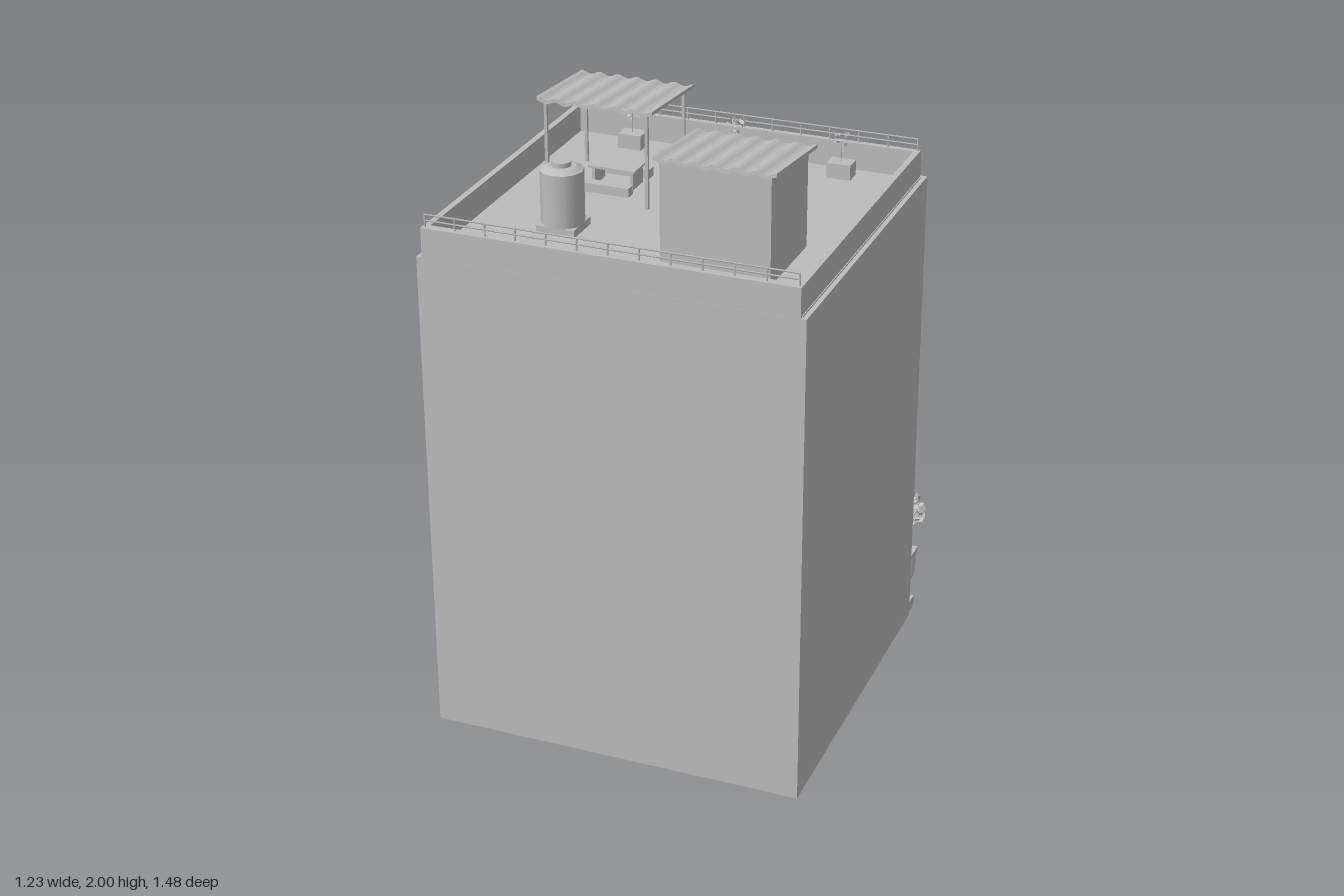
import * as THREE from 'three';
import { mergeGeometries } from 'three/addons/utils/BufferGeometryUtils.js';

const grey = new THREE.MeshStandardMaterial({ color: 0xbcbcbc, side: THREE.DoubleSide });
grey.name = 'plain grey';
const blue = new THREE.MeshStandardMaterial({ color: 0x86b4c8, side: THREE.DoubleSide });
blue.name = 'glass blue';

let seed = 7;
const rnd = () => (seed = (seed * 16807) % 2147483647) / 2147483647;
const V = (x, y, z) => new THREE.Vector3(x, y, z);

// Box given by its limits
const box = (x0, x1, y0, y1, z0, z1) =>
  new THREE.BoxGeometry(x1 - x0, y1 - y0, z1 - z0).translate((x0 + x1) / 2, (y0 + y1) / 2, (z0 + z1) / 2);
const cyl = (r0, r1, y0, y1, x, z, n = 12) =>
  new THREE.CylinderGeometry(r1, r0, y1 - y0, n).translate(x, (y0 + y1) / 2, z);
// Thin rod between two points
function rod(a, b, r = 0.003) {
  const d = b.clone().sub(a), g = new THREE.CylinderGeometry(r, r, d.length(), 5);
  g.applyQuaternion(new THREE.Quaternion().setFromUnitVectors(V(0, 1, 0), d.normalize()));
  return g.translate((a.x + b.x) / 2, (a.y + b.y) / 2, (a.z + b.z) / 2);
}
// Corrugated sheet sloping from (y0, z0) to (y1, z1), with z0 < z1
function sheet(x0, x1, y0, z0, y1, z1, waves, amp, thick) {
  const n = waves * 6, top = [], low = [];
  for (let i = 0; i <= n; i++) {
    const x = x0 + (x1 - x0) * i / n, y = amp * Math.cos(i / 6 * Math.PI * 2);
    top.push(new THREE.Vector2(x, y));
    low.unshift(new THREE.Vector2(x, y - thick));
  }
  const g = new THREE.ExtrudeGeometry(new THREE.Shape([...top, ...low]),
    { depth: Math.hypot(y1 - y0, z1 - z0), bevelEnabled: false });
  return g.rotateX(Math.atan2(y0 - y1, z1 - z0)).translate(0, y0, z0);
}
// Loose ball of small folded leaves
function leaves(c, r, count, size) {
  const list = [];
  for (let i = 0; i < count; i++) {
    const g = new THREE.CircleGeometry(size * (0.7 + 0.6 * rnd()), 5);
    g.rotateX(rnd() * 6.3).rotateY(rnd() * 6.3);
    const a = rnd() * 6.283, h = rnd() * 2 - 1, q = r * Math.cbrt(0.15 + 0.85 * rnd()), s = Math.sqrt(1 - h * h);
    list.push(g.translate(c.x + q * s * Math.cos(a), c.y + q * h * 0.9, c.z + q * s * Math.sin(a)));
  }
  return list;
}

export function createModel() {
  seed = 7;
  const root = new THREE.Group();
  root.name = 'cafeBuilding';
  const add = (name, list, mat = grey) => {
    const m = new THREE.Mesh(mergeGeometries(list.map(g => g.index ? g.toNonIndexed() : g)), mat);
    m.name = name;
    root.add(m);
  };

  // Shell, open at the bottom
  add('walls', [box(-0.615, 0.615, 0, 1.635, 0.725, 0.745),
    box(-0.615, -0.595, 0, 1.635, -0.42, 0.725), box(0.595, 0.615, 0, 1.635, -0.42, 0.725)]);
  const face = new THREE.Shape([[-0.615, 0], [0.615, 0], [0.615, 1.635], [-0.615, 1.635]].map(p => new THREE.Vector2(...p)));
  const hole = (x0, x1, y0, y1) => face.holes.push(new THREE.Path(
    [[x0, y0], [x0, y1], [x1, y1], [x1, y0]].map(p => new THREE.Vector2(...p))));
  const floors = [0.755, 1.2], sides = [-1, 1];
  for (const y of floors) for (const s of sides) hole(s * 0.305 - 0.235, s * 0.305 + 0.235, y, y + 0.335);
  hole(-0.55, 0.55, 0.035, 0.44);
  add('facade', [new THREE.ExtrudeGeometry(face, { depth: 0.03, bevelEnabled: false }).translate(0, 0, -0.425)]);
  add('facadeTrim', [box(-0.56, 0.56, 0.5, 0.72, -0.436, -0.425), box(-0.615, 0.615, 1.6, 1.625, -0.432, -0.425),
    ...sides.flatMap(s => [box(s * 0.585 - 0.022, s * 0.585 + 0.022, 0.04, 1.6, -0.431, -0.425),
      box(s * 0.58 - 0.03, s * 0.58 + 0.03, 0, 0.04, -0.49, -0.425),
      box(s * 0.58 - 0.018, s * 0.58 + 0.018, 0.36, 0.41, -0.458, -0.425)])]);
  add('shopFloor', [box(-0.59, 0.59, 0.004, 0.035, -0.45, 0.1)]);
  add('roofDeck', [box(-0.6, 0.6, 1.62, 1.64, -0.4, 0.735)]);
  add('parapet', [box(-0.597, 0.597, 1.635, 1.73, -0.405, -0.385), box(-0.597, 0.597, 1.635, 1.73, 0.715, 0.744),
    box(-0.597, -0.577, 1.635, 1.73, -0.385, 0.715), box(0.577, 0.597, 1.635, 1.73, -0.385, 0.715)]);

  // Roof railings along front and back
  const rails = [];
  for (const z of [-0.395, 0.73]) {
    for (const y of [1.75, 1.769]) rails.push(rod(V(-0.59, y, z), V(0.59, y, z)));
    for (let i = 0; i <= 12; i++) rails.push(rod(V(-0.588 + i * 0.098, 1.72, z), V(-0.588 + i * 0.098, 1.77, z)));
  }
  add('roofRailing', rails);

  // Roof hut, its sloping top following the sheet
  const hut = box(0.1, 0.445, 1.64, 1.99, 0.26, 0.577), hp = hut.attributes.position;
  for (let i = 0; i < hp.count; i++) if (hp.getY(i) > 1.8) hp.setY(i, 1.945 + (hp.getZ(i) - 0.26) * 0.12);
  add('roofHut', [hut]);
  add('hutDoor', [box(0.2, 0.3, 1.64, 1.86, 0.254, 0.26)]);
  add('hutRoof', [sheet(0.085, 0.465, 1.955, 0.235, 1.994, 0.592, 6, 0.005, 0.012)]);

  // Pergola with table and benches
  add('pergolaRoof', [sheet(-0.47, -0.085, 1.936, -0.165, 1.963, 0.182, 6, 0.005, 0.012)]);
  add('pergolaPosts', [-0.447, -0.11].flatMap(x => [[-0.14, 1.93], [0.165, 1.95]].map(([z, y]) =>
    box(x - 0.005, x + 0.005, 1.64, y, z - 0.005, z + 0.005))));
  add('pergolaTable', [box(-0.36, -0.2, 1.7, 1.708, -0.05, 0.05), box(-0.35, -0.34, 1.64, 1.7, -0.04, 0.04),
    box(-0.22, -0.21, 1.64, 1.7, -0.04, 0.04), ...sides.map(s => box(-0.36, -0.2, 1.64, 1.67, s * 0.085 - 0.018, s * 0.085 + 0.018))]);

  // Water tank
  add('waterTank', [box(-0.353, -0.227, 1.64, 1.665, 0.338, 0.462), cyl(0.068, 0.068, 1.665, 1.835, -0.29, 0.4),
    cyl(0.068, 0.045, 1.835, 1.847, -0.29, 0.4), cyl(0.03, 0.03, 1.847, 1.862, -0.29, 0.4)]);

  // Roof planters
  for (const x of [-0.36, 0, 0.36]) {
    add('roofPlanter', [box(x - 0.04, x + 0.04, 1.64, 1.69, -0.345, -0.287)]);
    add('roofPlant', [rod(V(x, 1.69, -0.315), V(x, 1.76, -0.315), 0.002), ...leaves(V(x, 1.762, -0.315), 0.032, 22, 0.006)]);
  }

  // Balcony bays, two on each floor
  for (const y of floors) for (const s of sides) {
    const c = s * 0.305, x0 = c - 0.245, x1 = c + 0.245, zf = -0.537;
    add('bayBack', [box(c - 0.24, c + 0.24, y - 0.005, y + 0.34, -0.395, -0.385)]);
    const door = [box(c - 0.13, c + 0.13, y + 0.28, y + 0.29, -0.404, -0.395)];
    for (const k of [-0.13, 0, 0.13]) door.push(box(c + k - 0.005, c + k + 0.005, y, y + 0.285, -0.404, -0.395));
    add('balconyDoor', door);
    const slats = [];
    for (const k of [-0.065, 0.065]) for (let i = 0; i < 16; i++)
      slats.push(box(c + k - 0.055, c + k + 0.055, y + 0.012 + i * 0.0165, y + 0.022 + i * 0.0165, -0.4, -0.395));
    add('shutterSlats', slats);
    add('balconySlab', [box(x0, x1, y - 0.02, y, -0.545, -0.42)]);

    // Railing with crossed bars
    const r = [];
    for (const h of [0.02, 0.12, 0.145]) {
      r.push(rod(V(x0 + 0.006, y + h, zf), V(x1 - 0.006, y + h, zf)));
      for (const x of [x0 + 0.006, x1 - 0.006]) r.push(rod(V(x, y + h, zf), V(x, y + h, -0.425)));
    }
    const n = 8, w = (x1 - x0 - 0.012) / n;
    for (let i = 0; i <= n; i++) {
      const x = x0 + 0.006 + i * w;
      if (i % 2 === 0) r.push(rod(V(x, y, zf), V(x, y + 0.147, zf)));
      if (i < n) r.push(rod(V(x, y + 0.02, zf), V(x + w, y + 0.12, zf), 0.002),
        rod(V(x, y + 0.12, zf), V(x + w, y + 0.02, zf), 0.002));
    }
    for (const x of [x0 + 0.006, x1 - 0.006]) r.push(rod(V(x, y, -0.435), V(x, y + 0.147, -0.435)),
      rod(V(x, y, -0.485), V(x, y + 0.147, -0.485), 0.002));
    add('balconyRailing', r);

    // Corrugated canopy on struts
    add('bayCanopy', [sheet(c - 0.255, c + 0.255, y + 0.351, -0.542, y + 0.386, -0.415, 20, 0.003, 0.006)]);
    add('canopyStruts', [c - 0.24, c, c + 0.24].map(x => rod(V(x, y + 0.33, -0.425), V(x, y + 0.347, -0.53))));

    // Potted plant
    const px = s > 0 ? 0.44 : -0.46;
    add('balconyPot', [box(px - 0.025, px + 0.025, y, y + 0.055, -0.515, -0.465)]);
    add('balconyPlant', [rod(V(px, y + 0.05, -0.488), V(px, y + 0.17, -0.488)), ...leaves(V(px, y + 0.172, -0.488), 0.038, 45, 0.008)]);
  }
  add('airConditioner', [box(0.48, 0.575, 1.03, 1.1, -0.475, -0.425)]);

  // Shop front
  add('shopGlass', [box(-0.55, 0.55, 0.035, 0.44, -0.405, -0.4)], blue);
  const frame = [box(-0.55, 0.55, 0.345, 0.357, -0.418, -0.405), box(-0.55, 0.55, 0.43, 0.44, -0.418, -0.405),
    box(0, 0.55, 0.035, 0.085, -0.418, -0.405), box(-0.55, -0.17, 0.035, 0.085, -0.418, -0.405),
    box(-0.17, 0, 0.035, 0.05, -0.418, -0.405)];
  for (const x of [-0.545, -0.36, -0.17, -0.085, 0, 0.135, 0.27, 0.405, 0.545]) frame.push(box(x - 0.006, x + 0.006, 0.035, 0.44, -0.42, -0.405));
  for (const x of [-0.105, -0.065]) frame.push(rod(V(x, 0.13, -0.43), V(x, 0.24, -0.43)));
  add('shopFrame', frame);

  // Display counter
  add('counterBase', [box(-0.52, -0.2, 0.035, 0.15, -0.52, -0.43)]);
  add('counterGlass', [box(-0.52, -0.2, 0.15, 0.23, -0.52, -0.43)], blue);
  add('counterLegs', [-0.5, -0.22].map(x => box(x - 0.012, x + 0.012, 0, 0.035, -0.515, -0.49)));

  // Awning with scalloped edge
  const awn = new THREE.PlaneGeometry(1.08, Math.hypot(0.2, 0.07)).rotateX(-Math.PI / 2);
  awn.rotateX(-Math.atan2(0.07, 0.2)).rotateY(0).translate(0, 0.45, -0.52);
  const scallops = [];
  for (let i = 0; i < 18; i++) scallops.push(new THREE.CircleGeometry(0.03, 10, Math.PI, Math.PI).translate(-0.51 + i * 0.06, 0.415, -0.62));
  add('awning', [awn, ...scallops]);
  add('awningArms', [-0.53, 0.53].flatMap(x => [rod(V(x, 0.36, -0.425), V(x, 0.414, -0.618)),
    rod(V(x, 0.482, -0.425), V(x, 0.414, -0.618))]));
  add('shopCanopy', [sheet(-0.55, 0.55, 0.476, -0.51, 0.494, -0.41, 40, 0.003, 0.006)]);

  // Terrace tables with stools and cups
  const stool = (x, z, h, w) => [box(x - w, x + w, h - 0.008, h, z - w, z + w),
    ...sides.flatMap(a => sides.map(b => rod(V(x + a * w, 0, z + b * w), V(x + a * w * 0.8, h, z + b * w * 0.8)))),
    ...sides.map(a => rod(V(x - w * 0.9, h * 0.4, z + a * w * 0.9), V(x + w * 0.9, h * 0.4, z + a * w * 0.9), 0.002))];
  for (const x of [0.14, 0.38]) {
    add('terraceTable', stool(x, -0.56, 0.1, 0.034));
    add('tableCups', [cyl(0.006, 0.008, 0.1, 0.118, x - 0.012, -0.55, 8), cyl(0.006, 0.008, 0.1, 0.118, x + 0.014, -0.57, 8)]);
    for (const [dx, z] of [[0, -0.647], [0, -0.49], [-0.07, -0.56], [0.07, -0.56]]) add('stool', stool(x + dx, z, 0.065, 0.021));
  }

  // Potted trees and a small tub
  for (const s of sides) {
    const x = s * 0.515, z = -0.657;
    add('treePot', [new THREE.CylinderGeometry(0.056, 0.05, 0.1, 4).rotateY(Math.PI / 4).translate(x, 0.05, z),
      box(x - 0.043, x + 0.043, 0.1, 0.113, z - 0.043, z + 0.043)]);
    add('treeTrunk', [rod(V(x, 0.1, z), V(x, 0.27, z), 0.005),
      ...[0, 1, 2, 3, 4].map(i => rod(V(x, 0.21, z), V(x + 0.05 * Math.cos(i * 1.26), 0.27, z + 0.05 * Math.sin(i * 1.26)), 0.003))]);
    add('treeLeaves', leaves(V(x, 0.278, z), 0.072, 210, 0.011));
  }
  add('tub', [cyl(0.02, 0.026, 0.04, 0.13, -0.57, -0.465), cyl(0.029, 0.029, 0.13, 0.14, -0.57, -0.465)]);
  return root;
}
